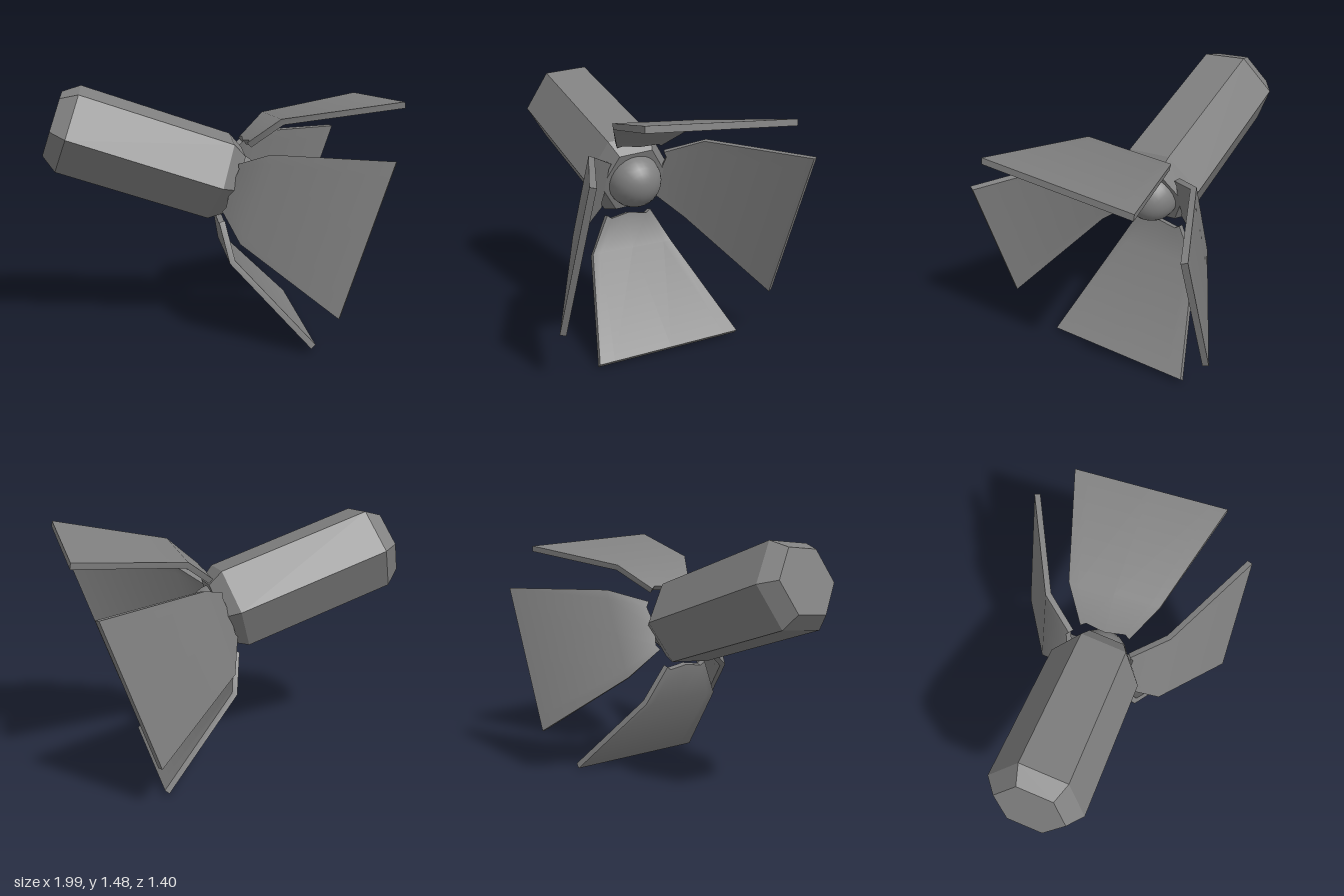
import * as THREE from 'three';
import { toCreasedNormals } from 'three/addons/utils/BufferGeometryUtils.js';

const RAD = Math.PI / 180;
const GREY = 0x808080;

// Barn door flap: a box bent along rows of [along axis, radius, half width, normal along, normal out]
function flapGeometry() {
  const rows = [
    [-0.21, 0.233, 0.145, -0.86, 0.52],
    [-0.097, 0.42, 0.265, -0.68, 0.73],
    [0.48, 0.72, 0.452, -0.46, 0.89],
  ];
  const thickness = 0.035;
  const geometry = new THREE.BoxGeometry(2, 1, 2, 4, 1, 2);
  const p = geometry.attributes.position;
  for (let i = 0; i < p.count; i++) {
    const row = Math.round(p.getZ(i)) + 1;
    const [along, radius, half, nAlong, nOut] = rows[row];
    const side = p.getX(i);
    const inner = Math.abs(Math.abs(side) - 0.5) < 0.01;
    const offset = p.getY(i) * thickness;
    // Small notches beside the two corner tabs of the hinge edge
    const notch = row === 0 && inner ? 0.02 : 0;
    p.setXYZ(
      i,
      radius + nOut * offset + notch * 0.86,
      along + nAlong * offset + notch * 0.52,
      half * (inner ? Math.sign(side) * 0.8 : side)
    );
  }
  return toCreasedNormals(geometry, 40 * RAD);
}

export function createModel() {
  const model = new THREE.Group();
  model.name = 'spotlight';
  const smooth = new THREE.MeshStandardMaterial({ color: GREY });
  const flat = new THREE.MeshStandardMaterial({ color: GREY, flatShading: true });

  // Lamp axis is local +y, aimed to the side and downwards
  const lamp = new THREE.Group();
  lamp.name = 'lamp';
  lamp.position.set(0.292, 0.851, 0);
  lamp.rotation.z = -108.9 * RAD;
  model.add(lamp);

  // Hexagonal housing with bevelled ends
  const profile = [[0, -1.305], [0.2, -1.305], [0.27, -1.212], [0.27, -0.292], [0.21, -0.2], [0, -0.2]];
  const housing = new THREE.Mesh(
    new THREE.LatheGeometry(profile.map(([r, y]) => new THREE.Vector2(r, y)), 6, 6 * RAD),
    flat
  );
  housing.name = 'housing';
  lamp.add(housing);

  // Round bulb half sunk in the front face
  const bulb = new THREE.Mesh(new THREE.SphereGeometry(0.16, 24, 16), smooth);
  bulb.name = 'bulb';
  bulb.position.y = -0.2;
  lamp.add(bulb);

  // Four flaps: [name, angle, shift inwards, shift back, shift sideways]
  const flapShape = flapGeometry();
  const flaps = [
    ['bottomFlap', 1, 0, 0, 0],
    ['leftFlap', -92.5, 0.055, 0.015, -0.03],
    ['topFlap', 177, 0, 0, -0.02],
    ['rightFlap', 88.3, 0.052, 0.015, -0.02],
  ];
  for (const [name, angle, inward, back, sideways] of flaps) {
    const flap = new THREE.Mesh(flapShape, smooth);
    flap.name = name;
    flap.rotation.y = angle * RAD;
    flap.translateX(-inward);
    flap.translateY(-back);
    flap.translateZ(sideways);
    lamp.add(flap);
  }
  return model;
}
